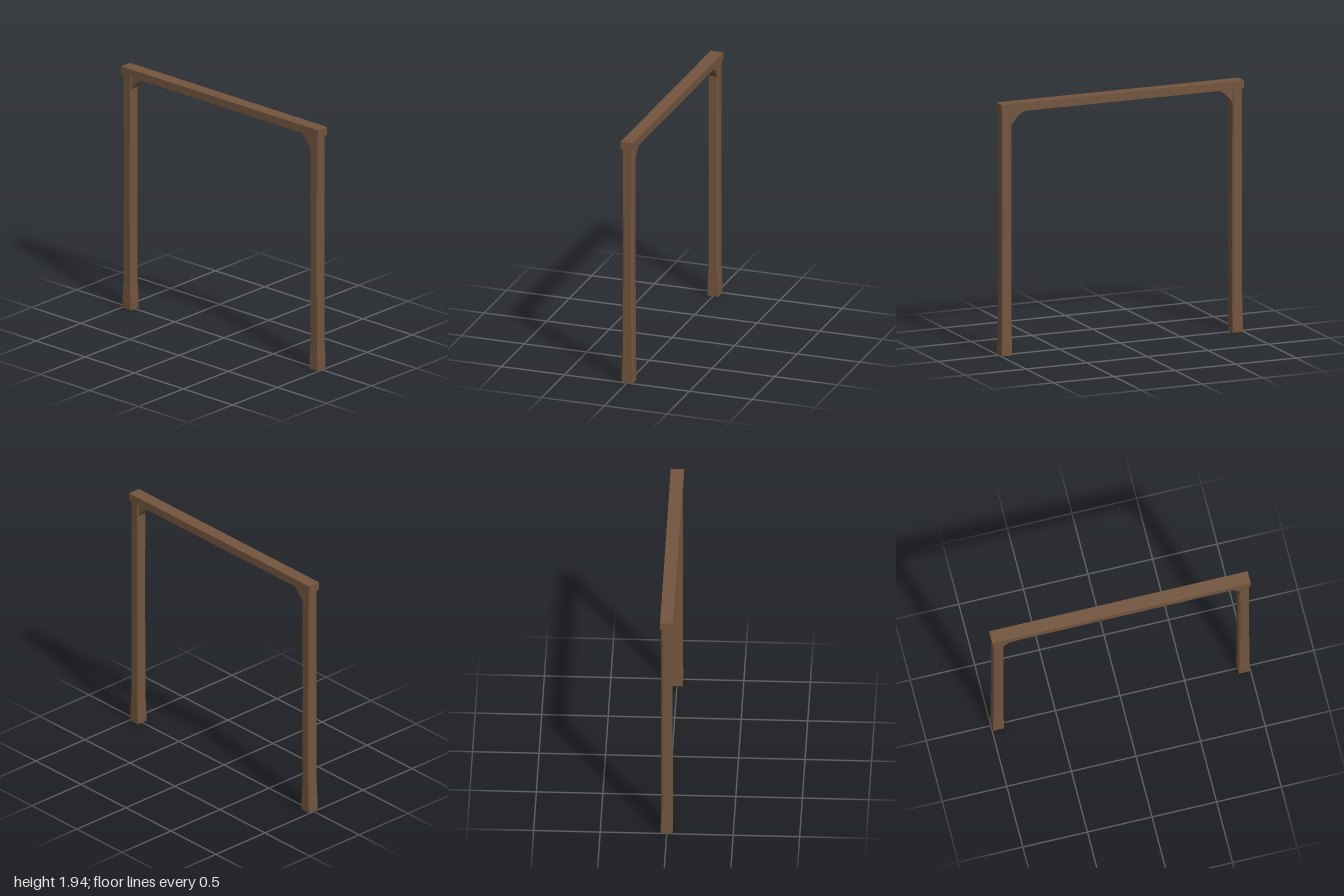
import * as THREE from 'three';

const wood = new THREE.MeshStandardMaterial({ color: 0x73553e });
wood.name = 'brown wood';

function addMesh(group, geometry, name) {
  const mesh = new THREE.Mesh(geometry, wood);
  mesh.name = name;
  group.add(mesh);
  return mesh;
}

// Hewn post: octagonal cross-sections [y, half width x, half depth z, chamfer] joined in loops
function postGeometry(sections) {
  const rings = sections.map(([y, w, d, c]) => [
    [w, d - c], [w - c, d], [-w + c, d], [-w, d - c],
    [-w, -d + c], [-w + c, -d], [w - c, -d], [w, -d + c],
  ].map(([x, z]) => [x, y, z]));
  const pos = [];
  const tri = (a, b, c) => pos.push(...a, ...b, ...c);
  for (let r = 0; r < rings.length - 1; r++) {
    for (let i = 0; i < 8; i++) {
      const j = (i + 1) % 8;
      const [a, b, c, d] = [rings[r][i], rings[r][j], rings[r + 1][j], rings[r + 1][i]];
      tri(a, d, b);
      tri(b, d, c);
    }
  }
  const bottom = rings[0], top = rings[rings.length - 1];
  for (let i = 1; i < 7; i++) {
    tri(bottom[0], bottom[i], bottom[i + 1]);
    tri(top[0], top[i + 1], top[i]);
  }
  const geo = new THREE.BufferGeometry();
  geo.setAttribute('position', new THREE.Float32BufferAttribute(pos, 3));
  geo.computeVertexNormals();
  return geo;
}

// Side outline in x, y given depth along z, centred on z = 0
function slab(points, depth) {
  const shape = new THREE.Shape(points.map(([x, y]) => new THREE.Vector2(x, y)));
  const geo = new THREE.ExtrudeGeometry(shape, { depth, bevelEnabled: false });
  return geo.translate(0, 0, -depth / 2);
}

export function createModel() {
  const group = new THREE.Group();
  group.name = 'timber frame';
  const beamBottom = 1.877, beamTop = 1.94;

  // Posts, squarer at the foot and chamfered above
  const sections = [
    [0, 0.043, 0.045, 0.002],
    [0.09, 0.043, 0.045, 0.004],
    [0.22, 0.042, 0.043, 0.010],
    [1.0, 0.041, 0.042, 0.011],
    [1.75, 0.040, 0.042, 0.009],
    [1.88, 0.040, 0.042, 0.007],
  ];
  for (const side of [-1, 1]) {
    const label = side > 0 ? 'left' : 'right';
    addMesh(group, postGeometry(sections), label + 'Post').position.x = side * 0.951;

    // Corner brace with a hollowed edge
    const points = [[0.925, 1.88], [0.925, 1.775], [0.91, 1.775], [0.878, 1.815],
      [0.845, 1.85], [0.8, beamBottom], [0.8, 1.88]].map(([x, y]) => [side * x, y]);
    addMesh(group, slab(points, 0.07), label + 'Brace');
  }

  // Top beam in two lengths meeting at a notched joint
  const joint = [[-0.688, beamTop], [-0.66, 1.908], [-0.688, beamBottom]];
  addMesh(group, slab([[-1, beamBottom], joint[2], joint[1], joint[0], [-1, beamTop]], 0.1), 'shortBeam');
  addMesh(group, slab([joint[2], [1, beamBottom], [1, beamTop], joint[0], joint[1]], 0.099), 'longBeam');

  return group;
}
